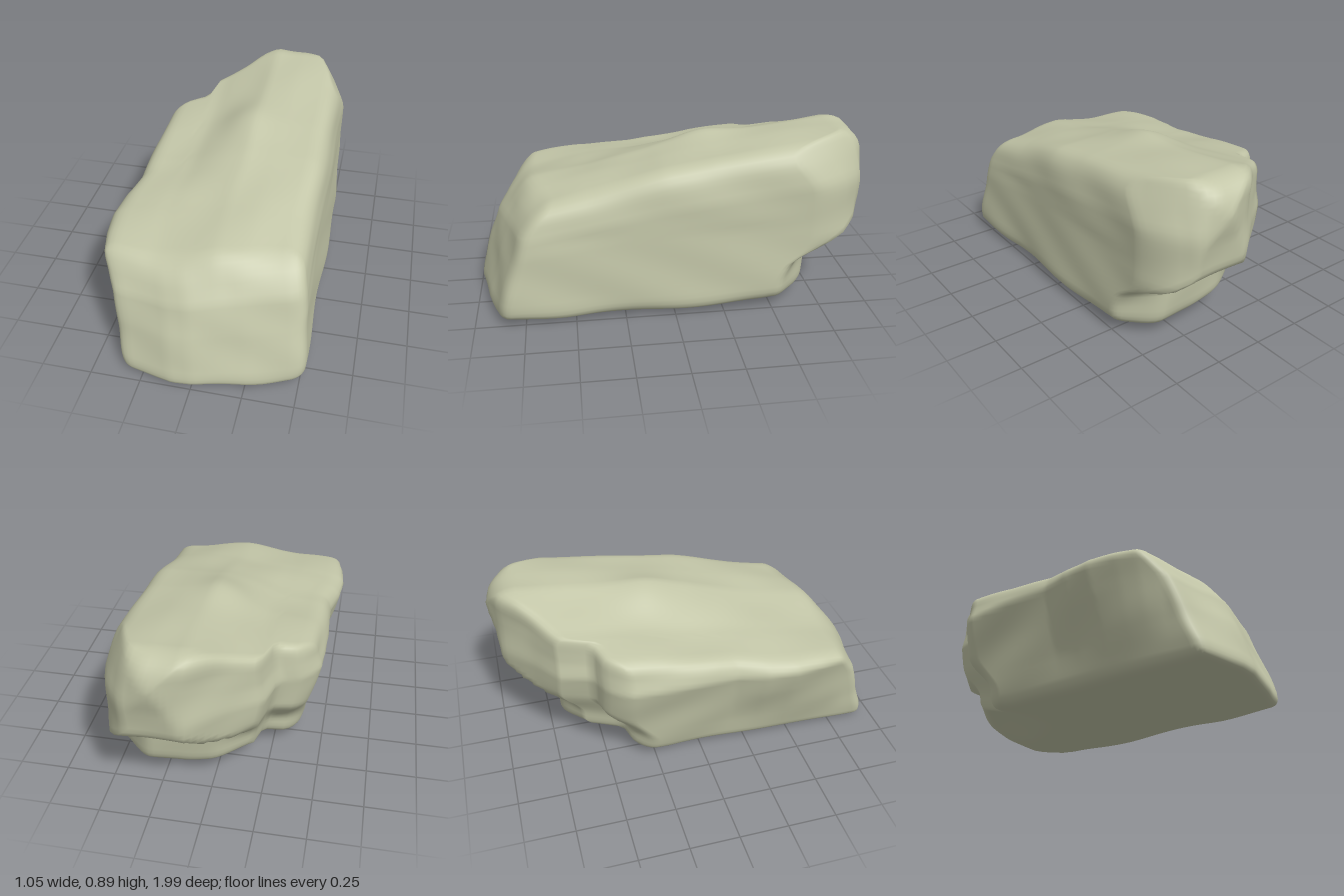
import * as THREE from 'three';
import { mergeVertices } from 'three/addons/utils/BufferGeometryUtils.js';

const { clamp, lerp, smoothstep } = THREE.MathUtils;

// Piecewise-linear curve through [input, output] pairs
function curve(points) {
  return (t) => {
    if (t <= points[0][0]) return points[0][1];
    for (let i = 1; i < points.length; i++) {
      const [a, va] = points[i - 1], [b, vb] = points[i];
      if (t <= b) return lerp(va, vb, (t - a) / (b - a));
    }
    return points[points.length - 1][1];
  };
}

// Ridge height along the length
const ridge = curve([[-1, 0.87], [-0.85, 0.895], [-0.5, 0.85], [-0.2, 0.81], [0.05, 0.765],
  [0.4, 0.675], [0.7, 0.61], [0.85, 0.55], [1, 0.51]]);
// Underside height along the length
const underside = curve([[-0.7, 0.065], [-0.45, 0.035], [0.4, 0.02], [0.8, 0.005], [1, 0]]);
// Plan outline of the two ends, with the stepped notch at the back
const frontPlan = curve([[-0.5, 0.945], [-0.42, 0.96], [-0.2, 1], [-0.08, 1], [0.2, 0.945], [0.5, 0.865]]);
const backPlan = curve([[-0.5, -0.42], [-0.42, -0.5], [-0.34, -0.53], [-0.3, -0.54], [-0.27, -0.69],
  [-0.1, -0.81], [0.05, -0.94], [0.2, -1], [0.36, -0.96], [0.44, -0.86], [0.5, -0.75]]);
// Lean of the front and overhang of the back, by height
const frontLean = curve([[0, 0], [0.08, 0.01], [0.3, 0.07], [0.46, 0.125], [0.53, 0.18], [0.6, 0.25]]);
const backOverhang = curve([[0, -0.69], [0.23, -0.705], [0.28, -0.77], [0.34, -0.87], [0.42, -0.95],
  [0.6, -0.97], [0.75, -1], [0.84, -0.97], [0.9, -0.94]]);
// Side walls; the left one bulges along its length, the right one leans in at the top
const leftWall = curve([[0, -0.35], [0.2, -0.405], [0.4, -0.465], [0.54, -0.505], [0.62, -0.48], [0.75, -0.46]]);
const leftBulge = curve([[-0.5, 0.02], [0.15, 0.02], [0.3, -0.015], [0.45, -0.025], [0.6, -0.005], [0.7, 0.015], [0.8, 0.045]]);
const rightWall = curve([[0, 0.515], [0.1, 0.52], [0.45, 0.5], [0.8, 0.51]]);
const rightBevel = curve([[0.6, 0], [0.75, 0.006], [0.88, 0.025], [1, 0.06]]);

// Top surface: a low hump on the ridge, falling to the left and flattening at that edge
function topHeight(x, z) {
  const slope = lerp(0.34, 0.12, smoothstep(z, -0.2, 0.7));
  const hump = 0.035 * Math.exp(-((x / 0.16) ** 2) - (((z + 0.18) / 0.16) ** 2));
  const fall = Math.max(0, 0.08 - x) - 0.55 * Math.max(0, -0.22 - x);
  return ridge(z) + hump - fall * slope - Math.max(0, x - 0.25) * 0.06;
}

// The underside rises towards the back left and front right corners
const bottomHeight = (x, z) => underside(z)
  + 0.11 * smoothstep(-z, 0.15, 0.6) * smoothstep(-x, -0.1, 0.3)
  + 0.025 * smoothstep(z, 0.5, 0.85) * smoothstep(x, 0.25, 0.5);

// The ledge under the back is cut away at both lower corners, the top at the right one
function backEnd(x, y) {
  const low = 1 - smoothstep(y, 0.12, 0.36);
  const high = smoothstep(y, 0.6, 0.88);
  const lowCut = 0.13 * smoothstep(x, 0.28, 0.5) + 0.14 * smoothstep(-x, 0.05, 0.35);
  const highCut = 0.14 * smoothstep(x, 0.25, 0.5);
  return Math.max(backPlan(x), backOverhang(y)) + lowCut * low + highCut * high;
}

function rockGeometry() {
  const half = [0.5, 0.4, 1], radius = 0.065;
  let geometry = new THREE.BoxGeometry(1, 0.8, 2, 34, 28, 64);
  geometry.deleteAttribute('uv');
  geometry.deleteAttribute('normal');
  geometry = mergeVertices(geometry, 1e-4);
  const pos = geometry.attributes.position;
  const p = new THREE.Vector3(), core = new THREE.Vector3();
  for (let i = 0; i < pos.count; i++) {
    // Round the edges of the block
    p.fromBufferAttribute(pos, i);
    core.set(...half.map((h, k) => clamp(p.getComponent(k), radius - h, h - radius)));
    p.sub(core).setLength(radius).add(core);

    // Fit the block between the end, top and side profiles
    const v = p.y / 0.8 + 0.5, w = p.z / 2 + 0.5;
    const front = frontPlan(p.x) - frontLean(v * 0.58);
    let z = lerp(backEnd(p.x, v * 0.88), front, w);
    let y = lerp(bottomHeight(p.x, z), topHeight(p.x, z), v);
    const left = leftWall(y) + leftBulge(z) * smoothstep(y, 0.08, 0.42);
    let x = lerp(left, rightWall(y) - rightBevel(v), p.x + 0.5);

    // Gentle weathering
    const n = 0.004 * (Math.sin(13 * x + 7 * z + 2) + Math.sin(17 * y - 9 * z) * Math.cos(11 * x + 5 * y));
    x += n * Math.sign(p.x) * smoothstep(Math.abs(p.x), 0.3, 0.5);
    y += n * Math.sign(p.y) * smoothstep(Math.abs(p.y), 0.2, 0.4);
    z += n * Math.sign(p.z) * smoothstep(Math.abs(p.z), 0.8, 1);
    pos.setXYZ(i, x, Math.max(0, y), clamp(z, -1, 1));
  }
  geometry.computeVertexNormals();
  return geometry;
}

export function createModel() {
  const group = new THREE.Group();
  group.name = 'rock';
  const stone = new THREE.MeshStandardMaterial({ color: 0xc3c6a8 });
  stone.name = 'pale stone';
  const boulder = new THREE.Mesh(rockGeometry(), stone);
  boulder.name = 'boulder';
  group.add(boulder);
  return group;
}
